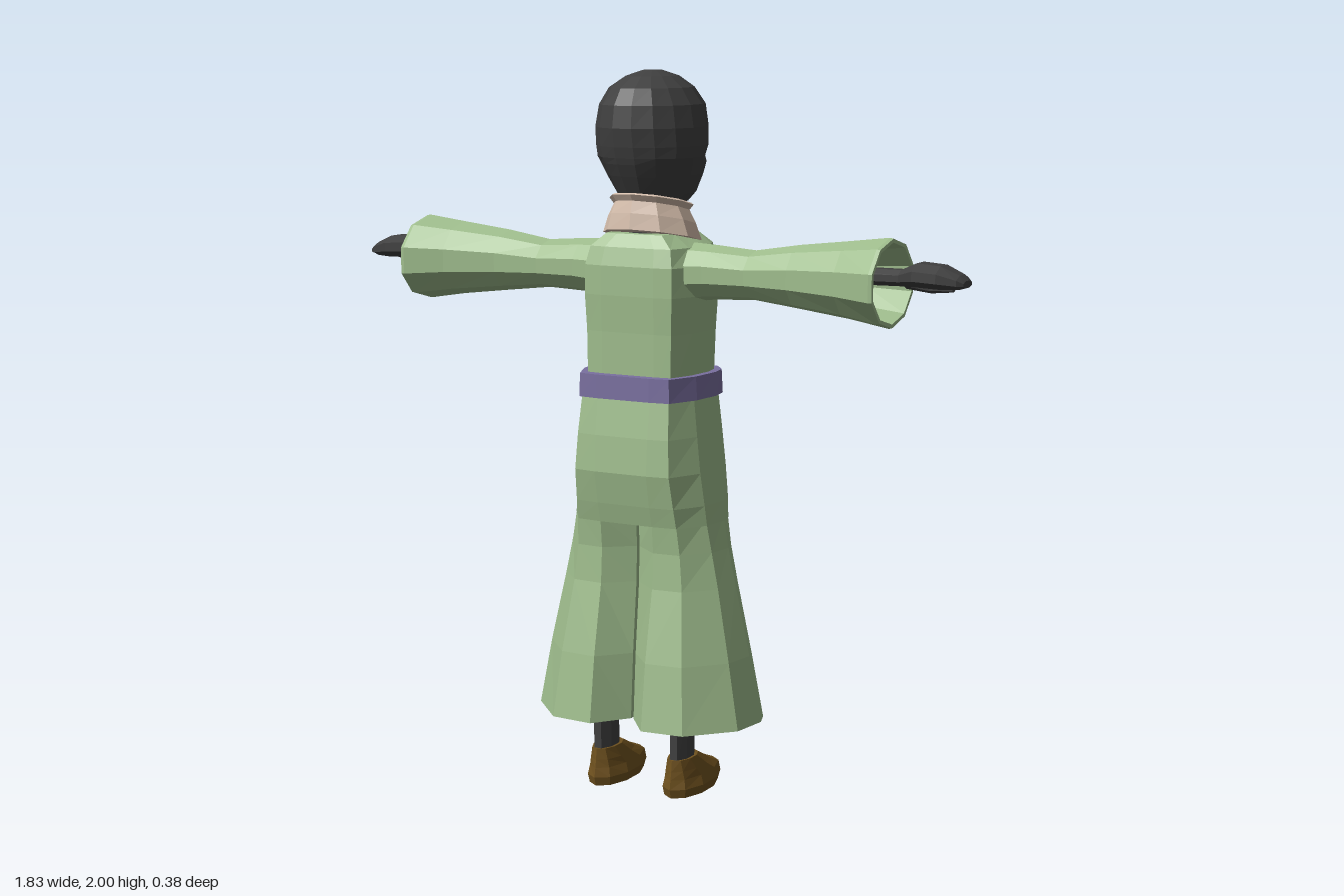
import * as THREE from 'three';

const mat = (name, color) => {
  const m = new THREE.MeshStandardMaterial({ color });
  m.name = name;
  return m;
};

// Skins a list of equal-length rings; side = -1 mirrors the result across x = 0
function loft(rings, { side = 1, capStart = true, capEnd = true } = {}) {
  const pos = [], idx = [], n = rings[0].length;
  const tri = (a, b, c) => (side > 0 ? idx.push(a, b, c) : idx.push(a, c, b));
  rings.forEach(r => r.forEach(p => pos.push(p[0] * side, p[1], p[2])));
  for (let k = 0; k < rings.length - 1; k++) {
    for (let i = 0; i < n; i++) {
      const j = (i + 1) % n, a = k * n, b = a + n;
      tri(a + i, b + i, a + j);
      tri(a + j, b + i, b + j);
    }
  }
  const cap = (k, end) => {
    const c = pos.length / 3, o = k * n;
    const mid = [0, 1, 2].map(d => rings[k].reduce((s, p) => s + p[d], 0) / n);
    pos.push(mid[0] * side, mid[1], mid[2]);
    for (let i = 0; i < n; i++) {
      const j = (i + 1) % n;
      if (end) tri(c, o + j, o + i); else tri(c, o + i, o + j);
    }
  };
  if (capStart) cap(0, false);
  if (capEnd) cap(rings.length - 1, true);
  const g = new THREE.BufferGeometry();
  g.setAttribute('position', new THREE.Float32BufferAttribute(pos, 3));
  g.setIndex(idx);
  const flat = g.toNonIndexed();
  flat.computeVertexNormals();
  return flat;
}

const angles = n => Array.from({ length: n }, (_, i) => ((i + 0.5) / n) * Math.PI * 2);

// Horizontal oval between zf and zb, optionally tilted so +z is higher
const ovalY = (n, cx, y, hx, zf, zb, tilt = 0) => angles(n).map(a => {
  const z = (zf + zb) / 2 + ((zb - zf) / 2) * Math.sin(a);
  return [cx + hx * Math.cos(a), y + tilt * z, z];
});

// Oval across an arm that runs along x
const ovalX = (n, [x, cy, cz, hy, hz]) =>
  angles(n).map(a => [x, cy + hy * Math.sin(a), cz + hz * Math.cos(a)]);

// Outer half of a garment section: front panel corner round to back panel corner
function halfSection(y, xo, zf, zb) {
  const mid = Math.min(xo * 0.45 + 0.055, xo * 0.85), inner = Math.min(0.08, xo * 0.5);
  return [
    [inner, y, zf], [mid, y, zf * 0.97], [xo * 0.94, y, zf * 0.68],
    [xo, y, zf * 0.3], [xo * 0.95, y, zb * 0.35], [mid, y, zb * 0.95], [inner, y, zb],
  ];
}
const bodyRing = l => {
  const h = halfSection(...l);
  return [...h, ...h.map(([x, y, z]) => [-x, y, z]).reverse()];
};
const legRing = l => {
  const [y, , zf, zb] = l;
  return [...halfSection(...l), [0.004, y, zb * 0.5], [0.004, y, zf * 0.5]];
};
const inset = (ring, y, k) => {
  const cx = ring.reduce((s, p) => s + p[0], 0) / ring.length;
  return ring.map(p => [cx + (p[0] - cx) * k, y, p[2] * k]);
};

export function createModel() {
  const root = new THREE.Group();
  root.name = 'robedFigure';
  const dark = mat('charcoal', 0x404040);
  const green = mat('sageGreen', 0x9fbd8d);
  const purple = mat('mutedPurple', 0x7a70a0);
  const beige = mat('paleBeige', 0xd4bdab);
  const brown = mat('shoeBrown', 0x70521f);
  const add = (name, geo, material) => {
    const m = new THREE.Mesh(geo, material);
    m.name = name;
    root.add(m);
  };

  // Head: y, half width, face z, back z; the face points to -z with a notch at the eyes
  const head = [
    [1.54, 0.06, -0.08, 0.06], [1.64, 0.065, -0.1, 0.065], [1.645, 0.082, -0.15, 0.075],
    [1.67, 0.1, -0.178, 0.087], [1.72, 0.125, -0.188, 0.115], [1.753, 0.138, -0.19, 0.132],
    [1.77, 0.144, -0.168, 0.138], [1.8, 0.148, -0.188, 0.147], [1.85, 0.147, -0.193, 0.156],
    [1.91, 0.136, -0.19, 0.149], [1.955, 0.108, -0.155, 0.122], [1.985, 0.066, -0.11, 0.07],
    [2.0, 0.025, -0.055, 0.015],
  ];
  add('head', loft(head.map(([y, w, f, b]) => ovalY(16, 0, y, w, f, b))), dark);

  // Rolled collar, lower at the face side
  const collar = [
    [1.555, 0.138, -0.15, 0.112], [1.6, 0.122, -0.138, 0.105], [1.635, 0.104, -0.125, 0.095],
    [1.65, 0.116, -0.135, 0.106], [1.655, 0.108, -0.128, 0.1], [1.62, 0.085, -0.11, 0.08],
  ];
  add('collar', loft(collar.map(([y, w, f, b]) => ovalY(10, 0, y, w, f, b, 0.22))), beige);

  // Tunic body: y, half width, z at the face side, z at the back
  const torso = [
    [1.13, 0.16, -0.14, 0.12], [1.3, 0.165, -0.146, 0.121], [1.4, 0.174, -0.142, 0.126],
    [1.48, 0.172, -0.146, 0.125], [1.53, 0.15, -0.146, 0.112], [1.565, 0.1, -0.12, 0.09],
  ];
  add('tunicBody', loft(torso.map(bodyRing)), green);

  // Overlapping chest placket
  const placket = new THREE.BoxGeometry(0.035, 0.32, 0.008);
  placket.translate(0.01, 1.35, -0.144);
  add('placket', placket, green);

  // Belt
  const belt = [[1.12, 0.186, -0.154, 0.15], [1.185, 0.182, -0.154, 0.15]];
  add('belt', loft(belt.map(bodyRing)), purple);

  // Trouser seat above the crotch
  const seat = [
    [0.775, 0.216, -0.128, 0.133], [0.83, 0.211, -0.138, 0.147], [0.92, 0.2, -0.146, 0.165],
    [1.02, 0.188, -0.146, 0.158], [1.13, 0.174, -0.144, 0.142],
  ];
  add('trouserSeat', loft(seat.map(bodyRing)), green);

  // Flared trouser leg, hem first
  const leg = [
    [0.215, 0.33, -0.143, 0.195], [0.4, 0.295, -0.128, 0.17], [0.6, 0.252, -0.116, 0.13],
    [0.7, 0.23, -0.116, 0.124], [0.79, 0.213, -0.128, 0.133],
  ].map(legRing);
  const lining = [inset(leg[2], 0.55, 0.9), inset(leg[0], 0.215, 0.95)];

  // Sleeve: x, centre y, centre z, half height, half depth; the last rings line the cuff
  const sleeve = [
    [0.08, 1.458, -0.012, 0.085, 0.105], [0.2, 1.463, -0.012, 0.074, 0.09],
    [0.32, 1.461, -0.012, 0.067, 0.085], [0.45, 1.464, -0.01, 0.085, 0.093],
    [0.6, 1.464, -0.005, 0.103, 0.118], [0.71, 1.462, 0, 0.119, 0.147],
    [0.72, 1.462, 0, 0.117, 0.145], [0.72, 1.462, 0, 0.107, 0.134],
    [0.6, 1.464, -0.005, 0.09, 0.105], [0.45, 1.464, -0.01, 0.06, 0.07],
  ];
  // Forearm and mitten hand
  const hand = [
    [0.44, 1.475, -0.015, 0.025, 0.036], [0.74, 1.477, -0.02, 0.023, 0.038],
    [0.785, 1.487, -0.026, 0.034, 0.065], [0.85, 1.483, -0.028, 0.033, 0.064],
    [0.9, 1.473, -0.03, 0.02, 0.048], [0.915, 1.468, -0.03, 0.01, 0.032],
  ];
  const thumb = [
    [0.74, 1.465, -0.045, 0.02, 0.022], [0.8, 1.45, -0.068, 0.016, 0.02],
    [0.86, 1.447, -0.075, 0.008, 0.011],
  ];
  // Shoe: y, half width, toe z, heel z
  const shoe = [
    [0, 0.056, -0.152, 0.094], [0.025, 0.061, -0.165, 0.101], [0.052, 0.053, -0.162, 0.096],
    [0.075, 0.046, -0.105, 0.092], [0.107, 0.036, -0.042, 0.088],
  ];

  for (const [label, side] of [['left', 1], ['right', -1]]) {
    add(label + 'TrouserLeg', loft([...lining, ...leg], { side }), green);
    add(label + 'Sleeve', loft(sleeve.map(s => ovalX(10, s)), { side }), green);
    add(label + 'Hand', loft(hand.map(s => ovalX(8, s)), { side }), dark);
    add(label + 'Thumb', loft(thumb.map(s => ovalX(6, s)), { side }), dark);
    add(label + 'Ankle', loft([
      ovalY(8, 0.12, 0.09, 0.029, -0.03, 0.084), ovalY(8, 0.122, 0.24, 0.03, -0.026, 0.086),
      ovalY(8, 0.125, 0.6, 0.05, -0.05, 0.08),
    ], { side }), dark);
    add(label + 'Shoe', loft(shoe.map(([y, w, f, b]) => ovalY(10, 0.12, y, w, f, b)), { side }), brown);
  }
  return root;
}
